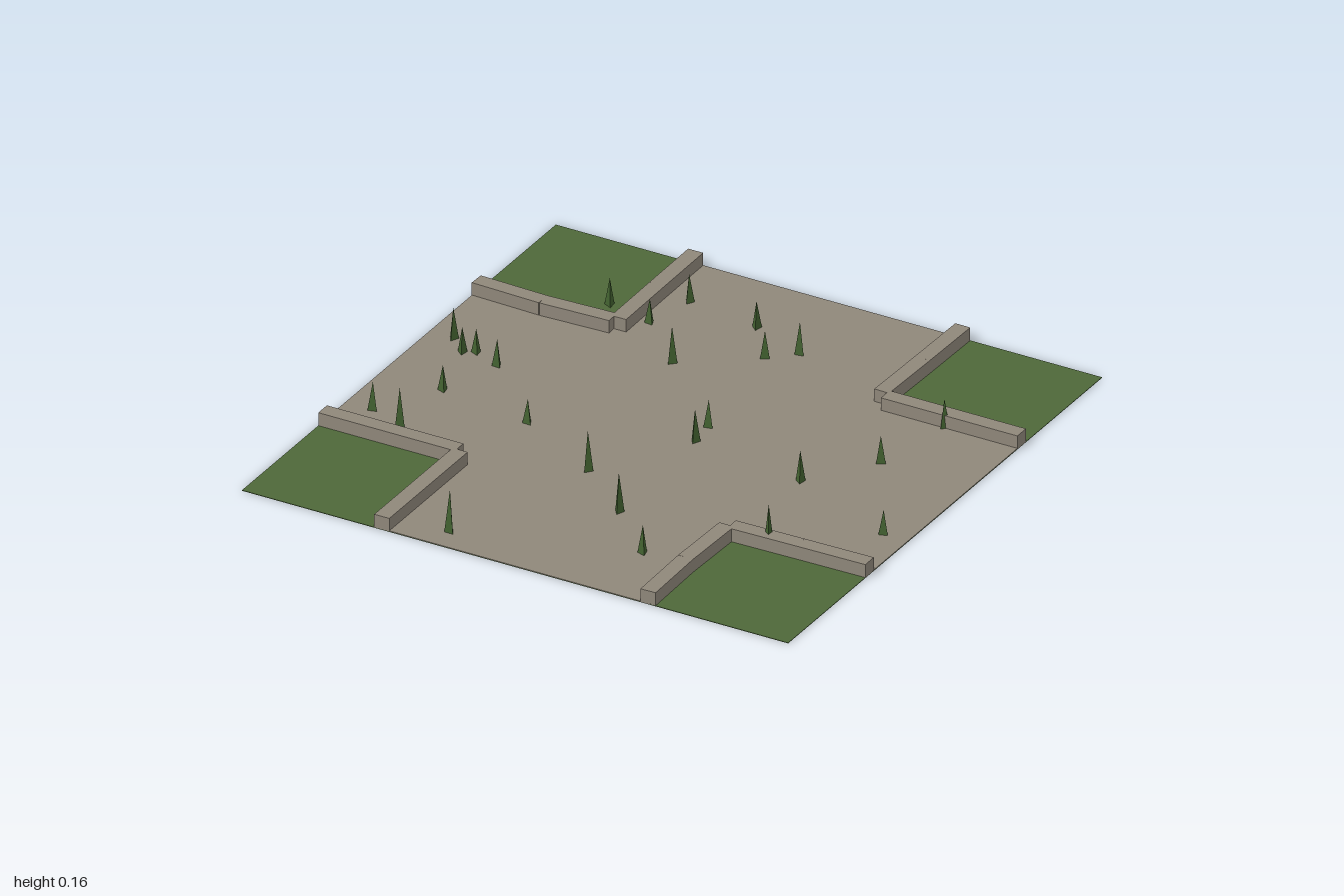
import * as THREE from 'three';

const grass = new THREE.MeshStandardMaterial({ name: 'grassGreen', color: 0x4e6839 });
const stone = new THREE.MeshStandardMaterial({ name: 'stoneGrey', color: 0x8f877a });
const leaf = new THREE.MeshStandardMaterial({ name: 'tuftGreen', color: 0x41602f, flatShading: true });

function add(parent, name, geometry, material, x, y, z) {
  const mesh = new THREE.Mesh(geometry, material);
  mesh.name = name;
  mesh.position.set(x, y, z);
  parent.add(mesh);
  return mesh;
}

const WALL_HEIGHT = 0.048;
const WALL_WIDTH = 0.055;

// Straight wall block between two ground points
function wall(parent, x1, z1, x2, z2) {
  const length = Math.hypot(x2 - x1, z2 - z1);
  const block = add(parent, 'wallBlock', new THREE.BoxGeometry(length, WALL_HEIGHT, WALL_WIDTH), stone,
    (x1 + x2) / 2, WALL_HEIGHT / 2 + 0.001, (z1 + z2) / 2);
  block.rotation.y = -Math.atan2(z2 - z1, x2 - x1);
}

export function createModel() {
  const model = new THREE.Group();
  model.name = 'walledCrossroads';

  // Grass base with the paved cross on top
  add(model, 'grassBase', new THREE.BoxGeometry(2, 0.002, 2), grass, 0, 0.001, 0);
  add(model, 'pavingAcross', new THREE.BoxGeometry(2, 0.002, 1), stone, 0, 0.003, 0);
  for (const s of [-1, 1]) {
    add(model, 'pavingArm', new THREE.BoxGeometry(1, 0.002, 0.5), stone, 0, 0.003, s * 0.75);
  }

  // Low walls round each corner: wall offsets at the corner, middle and outer end
  const corners = [
    { sx: -1, sz: -1, alongX: [0.495, 0.485, 0.493], alongZ: [0.483, 0.486, 0.488] },
    { sx: 1, sz: -1, alongX: [0.488, 0.488, 0.488], alongZ: [0.48, 0.486, 0.49] },
    { sx: -1, sz: 1, alongX: [0.486, 0.486, 0.486], alongZ: [0.488, 0.488, 0.488] },
    { sx: 1, sz: 1, alongX: [0.49, 0.485, 0.481], alongZ: [0.488, 0.481, 0.487] },
  ];
  for (const { sx, sz, alongX, alongZ } of corners) {
    const corner = new THREE.Group();
    corner.name = 'cornerWall';
    for (let i = 0; i < 2; i++) {
      const a = 0.5 + i * 0.25, b = a + 0.25;
      wall(corner, sx * a, sz * alongX[i], sx * b, sz * alongX[i + 1]);
      wall(corner, sx * alongZ[i], sz * a, sx * alongZ[i + 1], sz * b);
    }
    model.add(corner);
  }

  // Three-sided grass tufts: x, z, height
  const tufts = [
    [-0.38, -0.77, 0.105], [-0.11, -0.73, 0.1], [-0.59, -0.63, 0.1], [-0.42, -0.59, 0.09],
    [0.095, -0.65, 0.12], [0.01, -0.575, 0.1], [-0.23, -0.4, 0.135], [-0.91, -0.19, 0.115],
    [-0.84, -0.125, 0.095], [-0.8, -0.145, 0.09], [-0.7, -0.105, 0.1], [0.08, -0.095, 0.1],
    [0.67, -0.165, 0.1], [0.73, -0.465, 0.105], [0.09, 0.01, 0.12], [0.51, 0.07, 0.115],
    [-0.77, 0.12, 0.095], [-0.43, 0.17, 0.09], [-0.9, 0.34, 0.105], [-0.77, 0.395, 0.145],
    [-0.11, 0.345, 0.148], [0.11, 0.53, 0.145], [0.63, 0.48, 0.15], [0.31, 0.725, 0.105],
    [-0.29, 0.91, 0.157], [0.91, 0.235, 0.09],
  ];
  tufts.forEach(([x, z, h], i) => {
    const tuft = add(model, 'grassTuft', new THREE.ConeGeometry(0.0185, h, 3), leaf, x, h / 2 + 0.001, z);
    tuft.rotation.y = i * 2.4;
  });

  return model;
}
